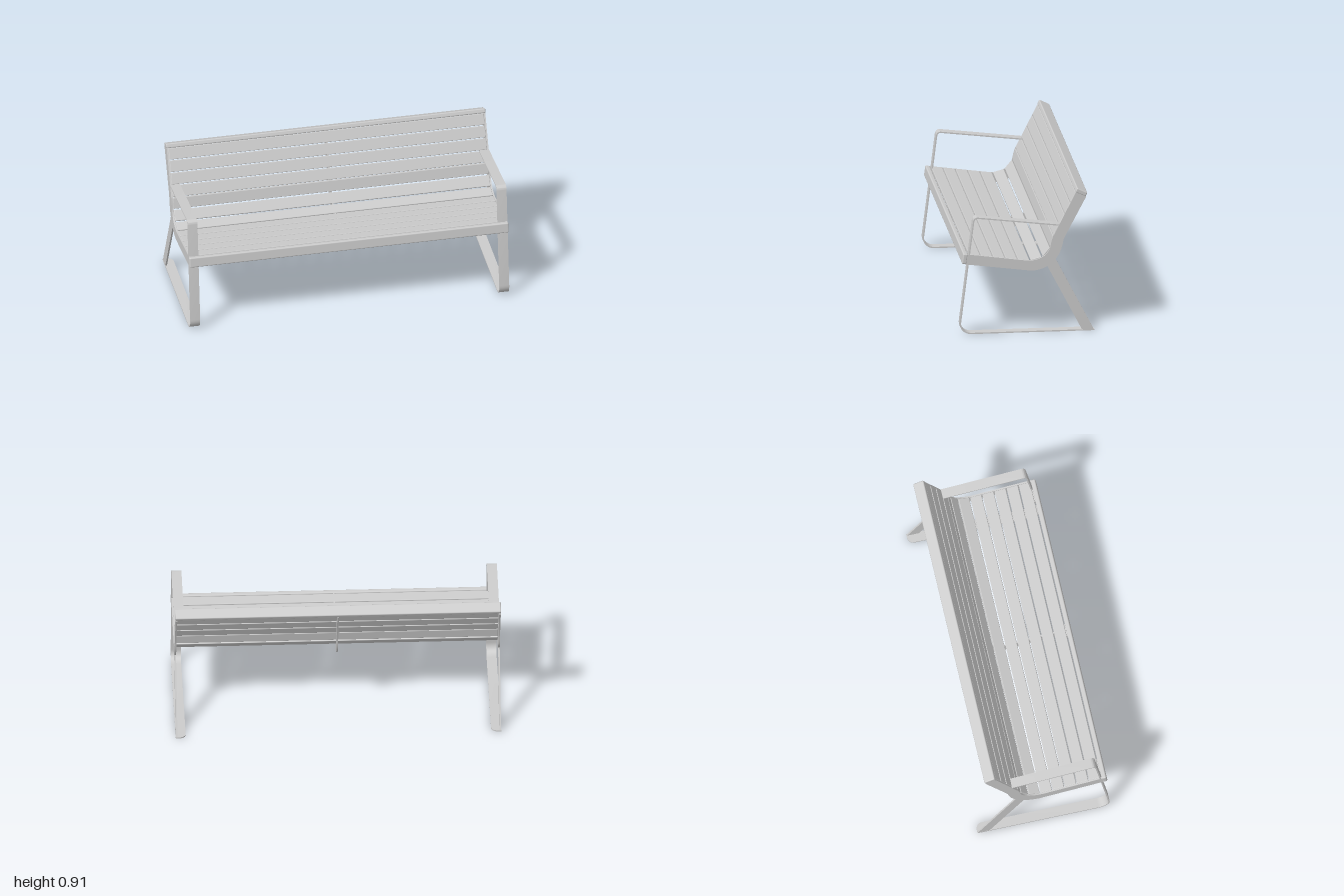
import * as THREE from 'three';
import { RoundedBoxGeometry } from 'three/addons/geometries/RoundedBoxGeometry.js';
import { toCreasedNormals } from 'three/addons/utils/BufferGeometryUtils.js';

const material = new THREE.MeshStandardMaterial({ color: 0xcccccc });
const V = (z, y) => new THREE.Vector2(z, y);

function add(parent, name, geometry) {
  const mesh = new THREE.Mesh(geometry, material);
  mesh.name = name;
  parent.add(mesh);
  return mesh;
}

// Extrude a side outline, given in (z, y), across x and centre it on x = 0
function sideExtrude(shape, width) {
  const g = new THREE.ExtrudeGeometry(shape, { depth: width, bevelEnabled: false, curveSegments: 10 });
  g.rotateY(-Math.PI / 2).translate(width / 2, 0, 0);
  return toCreasedNormals(g, 0.5);
}

// Outline of constant thickness around a centre line
function ribbon(points, thickness) {
  const left = [], right = [];
  points.forEach((p, i) => {
    const a = points[Math.max(i - 1, 0)], b = points[Math.min(i + 1, points.length - 1)];
    const t = b.clone().sub(a).normalize().multiplyScalar(thickness / 2);
    left.push(V(p.x - t.y, p.y + t.x));
    right.unshift(V(p.x + t.y, p.y - t.x));
  });
  return new THREE.Shape([...left, ...right]);
}

// Seat-and-back profile, with or without the rear leg
function frameShape(withLeg) {
  const s = new THREE.Shape();
  s.moveTo(0.385, 0.511);
  s.lineTo(0.0, 0.458);
  s.bezierCurveTo(-0.06, 0.452, -0.125, 0.48, -0.142, 0.535);
  s.quadraticCurveTo(-0.155, 0.605, -0.168, 0.62);
  s.lineTo(-0.302, 0.885);
  s.lineTo(-0.365, 0.855);
  s.lineTo(-0.227, 0.592);
  s.bezierCurveTo(-0.215, 0.545, -0.215, 0.515, -0.176, 0.463);
  if (withLeg) {
    s.lineTo(-0.413, 0.006);
    s.lineTo(-0.34, 0.006);
    s.lineTo(-0.125, 0.419);
  } else {
    s.lineTo(-0.125, 0.419);
  }
  s.quadraticCurveTo(-0.08, 0.394, -0.025, 0.393);
  s.lineTo(0.385, 0.447);
  s.closePath();
  return s;
}

// Board lying along the line from a to b (z, y), its face on that line
function board(parent, name, a, b, length, thickness, radius) {
  const d = b.clone().sub(a), size = d.length();
  const mesh = add(parent, name, new RoundedBoxGeometry(length, thickness, size, 2, radius));
  const n = V(d.y, -d.x).normalize().multiplyScalar(-thickness / 2);
  mesh.position.set(0, (a.y + b.y) / 2 + n.y, (a.x + b.x) / 2 + n.x);
  mesh.rotation.x = Math.atan2(d.y, -d.x);
  return mesh;
}

export function createModel() {
  const bench = new THREE.Group();
  bench.name = 'bench';

  // Strap running along the floor, up the front and back along the armrest
  const path = new THREE.Path();
  path.moveTo(-0.36, 0.005);
  path.lineTo(0.345, 0.005);
  path.bezierCurveTo(0.385, 0.005, 0.417, 0.037, 0.411, 0.078);
  path.lineTo(0.331, 0.711);
  path.quadraticCurveTo(0.327, 0.742, 0.302, 0.738);
  path.lineTo(-0.205, 0.677);
  const strapGeometry = sideExtrude(ribbon(path.getPoints(10), 0.008), 0.062);

  // Foot plate with one rounded inner corner, drawn in (x, -z)
  const foot = new THREE.Shape();
  foot.moveTo(-0.031, 0.355);
  foot.lineTo(0.031, 0.355);
  foot.lineTo(0.031, 0.415);
  foot.lineTo(0.015, 0.415);
  foot.quadraticCurveTo(-0.031, 0.415, -0.031, 0.375);
  foot.closePath();

  for (const side of [-1, 1]) {
    const end = new THREE.Group();
    end.name = side > 0 ? 'leftEnd' : 'rightEnd';
    bench.add(end);
    add(end, 'legAndArmStrap', strapGeometry).position.x = side * 0.968;
    add(end, 'sideFrame', sideExtrude(frameShape(true), 0.01)).position.x = side * 0.993;
    const shape = side > 0 ? foot
      : new THREE.Shape(foot.getPoints(8).map(p => V(-p.x, p.y)).reverse());
    const g = new THREE.ExtrudeGeometry(shape, { depth: 0.008, bevelEnabled: false });
    g.rotateX(-Math.PI / 2);
    add(end, 'footPlate', g).position.set(side * 0.968, 0.001, 0);
  }

  // Thin rib under the middle of the slats
  add(bench, 'centreRib', sideExtrude(frameShape(false), 0.01));

  // Slats stepped evenly along the seat, round the bend and up the back
  const line = new THREE.Path();
  line.moveTo(0.362, 0.510);
  line.lineTo(0.0, 0.460);
  line.bezierCurveTo(-0.06, 0.454, -0.123, 0.482, -0.140, 0.537);
  line.quadraticCurveTo(-0.153, 0.607, -0.166, 0.622);
  line.lineTo(-0.300, 0.885);
  const stops = line.getSpacedPoints(12);
  for (let i = 0; i < 12; i++) {
    const a = stops[i].clone().lerp(stops[i + 1], 0.04);
    const b = stops[i].clone().lerp(stops[i + 1], 0.96);
    board(bench, i < 6 ? 'seatSlat' : 'backSlat', a, b, 1.976, 0.018, 0.004);
  }

  // Cap rail on top of the back and lip along the front of the seat
  board(bench, 'topRail', V(-0.309, 0.911), V(-0.374, 0.880), 2, 0.029, 0.007);
  board(bench, 'frontRail', V(0.392, 0.446), V(0.401, 0.446), 0.01, 0.002, 0.0005).removeFromParent();
  const lip = add(bench, 'frontRail', new RoundedBoxGeometry(2, 0.066, 0.029, 3, 0.008));
  lip.position.set(0, 0.48, 0.384);
  lip.rotation.x = -0.14;

  // Small brackets joining the front rail to the frames and rib
  for (const x of [-0.9, 0, 0.9]) {
    const bracket = add(bench, 'railBracket', new THREE.BoxGeometry(0.08, 0.045, 0.008));
    bracket.position.set(x, 0.472, 0.368);
    bracket.rotation.x = -0.14;
  }
  return bench;
}
